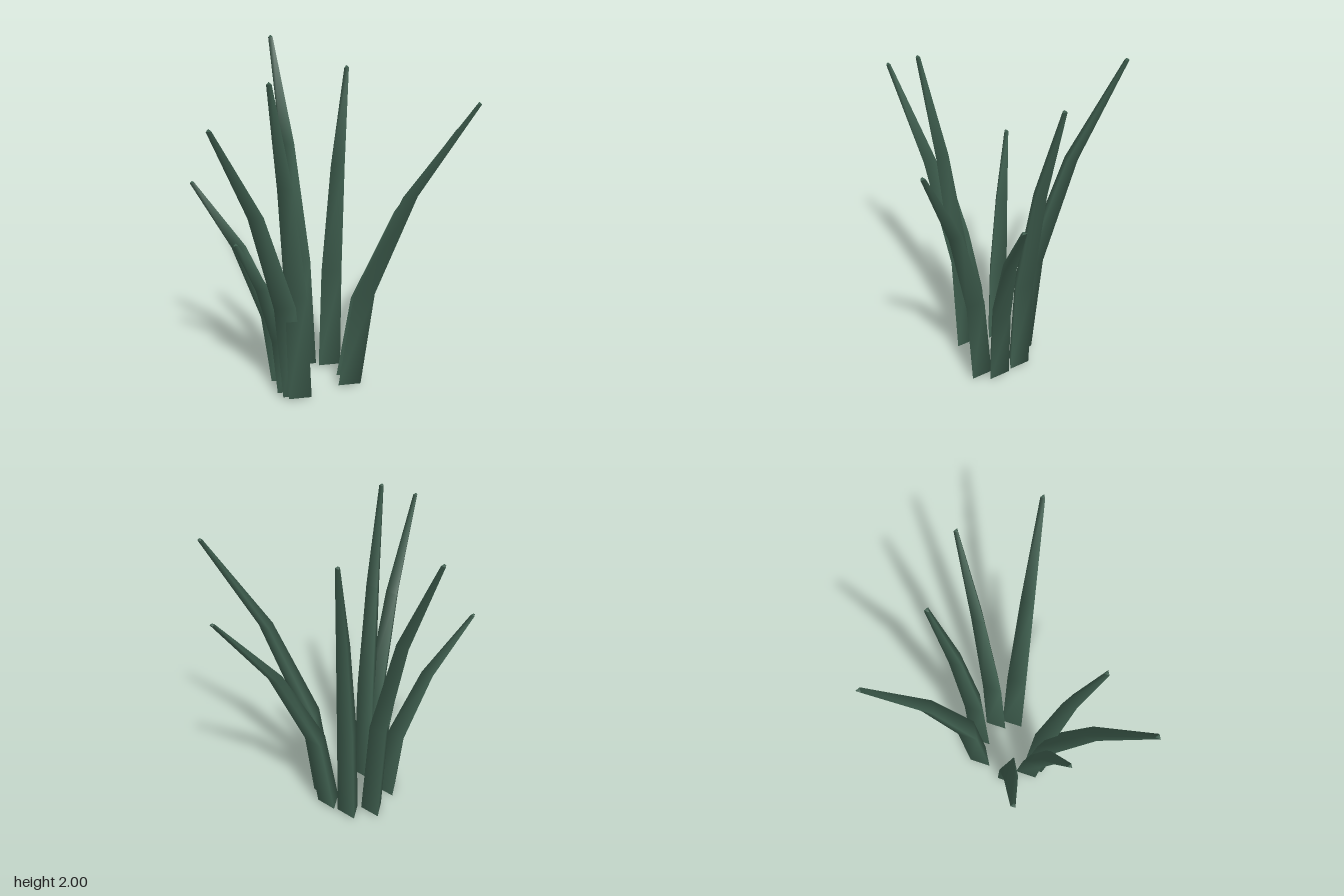
import * as THREE from 'three';

const RINGS = [0, 0.35, 0.7, 1]; // heights of the cross-sections, as fractions
const SIDES = 3;

// A three-sided blade that tapers and bends outward along a parabola.
function bladeGeometry([x0, z0], [x1, z1], height) {
  const pos = [], index = [];
  const radius = 0.08, point = 0.012;
  const ring = (t) => {
    const first = pos.length / 3;
    const r = radius * (1 - 0.8 * t * t), bend = t * t;
    const y = THREE.MathUtils.lerp(point, height - point, t);
    for (let k = 0; k < SIDES; k++) {
      const a = (k / SIDES) * Math.PI * 2;
      pos.push(x0 + (x1 - x0) * bend + r * Math.sin(a), y, z0 + (z1 - z0) * bend - r * Math.cos(a));
    }
    return first;
  };

  // smooth sides
  const rows = RINGS.map(ring);
  for (let i = 0; i < rows.length - 1; i++) {
    for (let k = 0; k < SIDES; k++) {
      const n = (k + 1) % SIDES;
      const a = rows[i] + k, b = rows[i] + n, c = rows[i + 1] + k, d = rows[i + 1] + n;
      index.push(b, a, c, b, c, d);
    }
  }

  // slightly pointed ends with their own vertices, so the rims stay sharp
  for (const t of [0, 1]) {
    const first = ring(t), apex = pos.length / 3;
    pos.push(t ? x1 : x0, t ? height : 0, t ? z1 : z0);
    for (let k = 0; k < SIDES; k++) {
      const a = first + k, b = first + (k + 1) % SIDES;
      if (t) index.push(b, a, apex);
      else index.push(a, b, apex);
    }
  }

  const g = new THREE.BufferGeometry();
  g.setAttribute('position', new THREE.Float32BufferAttribute(pos, 3));
  g.setIndex(index);
  g.computeVertexNormals();
  return g;
}

export function createModel() {
  const group = new THREE.Group();
  group.name = 'grassTuft';
  const green = new THREE.MeshStandardMaterial({ color: 0x3f5f4f });
  green.name = 'dark grass green';

  // name, root [x, z], tip [x, z], height
  const blades = [
    ['backTallBlade', [-0.14, -0.10], [-0.245, -0.69], 2.0],
    ['backLeftBlade', [0.012, -0.07], [0.16, -0.305], 1.88],
    ['leftBlade', [0.103, 0.062], [0.782, -0.056], 1.535],
    ['frontLeftBlade', [0.095, 0.175], [0.73, 0.42], 1.82],
    ['rightBlade', [-0.305, 0.06], [-0.78, -0.04], 1.31],
    ['frontTallBlade', [-0.225, 0.27], [-0.38, 0.48], 1.985],
    ['frontShortBlade', [-0.283, 0.195], [-0.57, 0.34], 1.07],
    ['frontRightBlade', [-0.255, 0.245], [-0.69, 0.68], 1.82],
  ];
  for (const [name, root, tip, height] of blades) {
    const mesh = new THREE.Mesh(bladeGeometry(root, tip, height), green);
    mesh.name = name;
    group.add(mesh);
  }
  return group;
}
